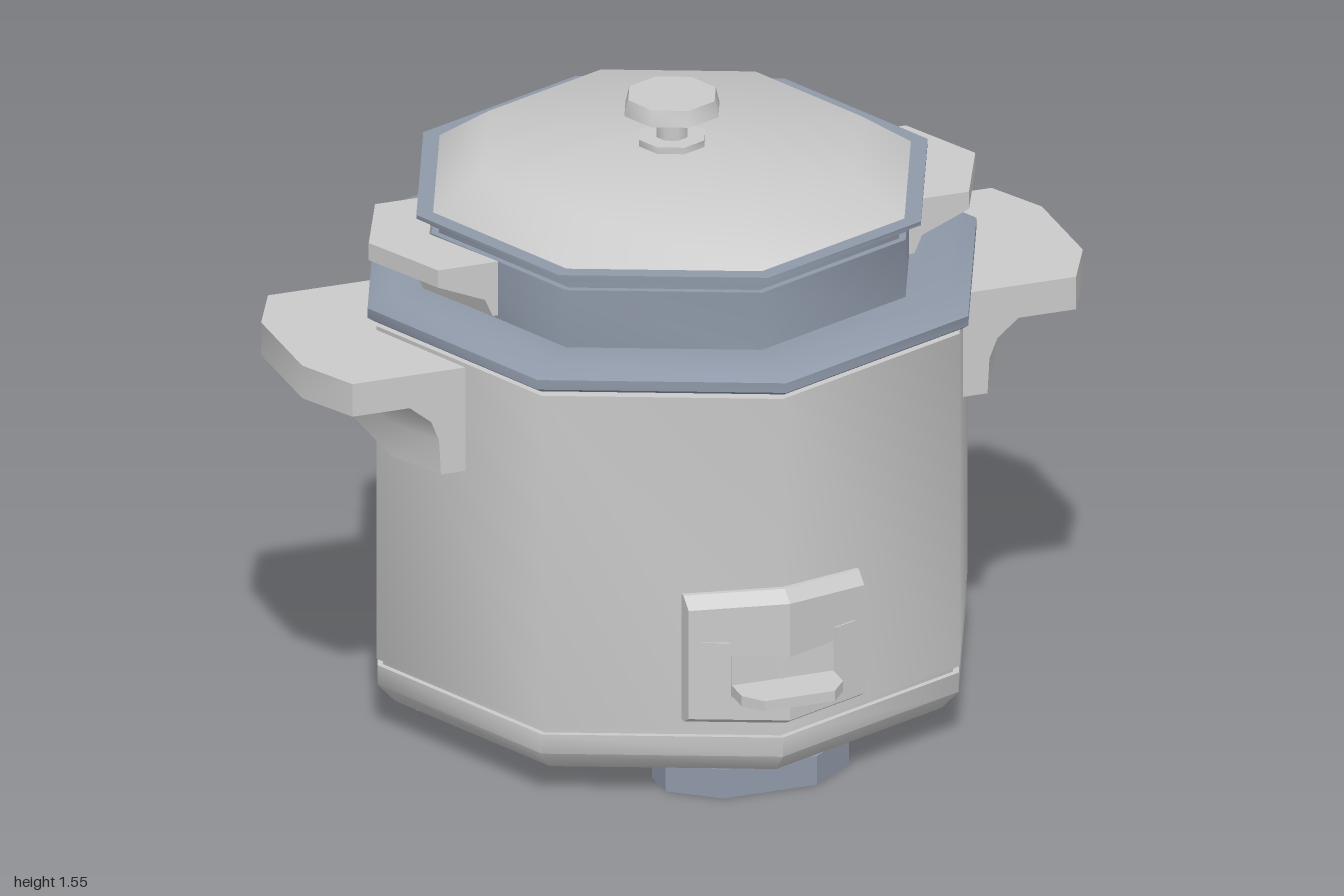
import * as THREE from 'three';
import { toCreasedNormals } from 'three/addons/utils/BufferGeometryUtils.js';

const steel = new THREE.MeshStandardMaterial({ color: 0xcacaca });
steel.name = 'light grey';
const slate = new THREE.MeshStandardMaterial({ color: 0x8f99a9 });
slate.name = 'blue grey';

export function createModel() {
  const model = new THREE.Group();
  model.name = 'riceCooker';
  // everything round shares one axis, slightly behind the origin
  const axis = new THREE.Group();
  axis.name = 'cooker';
  axis.position.z = -0.05;
  model.add(axis);

  const add = (name, geometry, material, crease = 0.88) => {
    const mesh = new THREE.Mesh(toCreasedNormals(geometry, crease), material);
    mesh.name = name;
    axis.add(mesh);
    return mesh;
  };
  // eight-sided turned part, profile of [radius, y] from bottom to top
  const turned = (name, profile, material) =>
    add(name, new THREE.LatheGeometry(profile.map(p => new THREE.Vector2(...p)), 8), material);

  const shapeOf = points => new THREE.Shape(points.map(p => new THREE.Vector2(...p)));

  // profile [outward, y] swept sideways through stations [offset, outward shift, lift of the top]
  const swept = (profile, stations) => {
    const g = new THREE.ExtrudeGeometry(shapeOf(profile),
      { depth: 1, steps: stations.length - 1, bevelEnabled: false });
    const p = g.attributes.position;
    for (let i = 0; i < p.count; i++) {
      const [offset, out, lift = 0] = stations[Math.round(p.getZ(i) * (stations.length - 1))];
      const y = p.getY(i);
      p.setXYZ(i, p.getX(i) + out, y > 0.5 ? y + lift : y, offset);
    }
    return g;
  };

  // flat plate from an [x, z] outline, between y = bottom and bottom + height
  const plate = (outline, bottom, height) =>
    new THREE.ExtrudeGeometry(shapeOf(outline), { depth: height, bevelEnabled: false })
      .rotateX(Math.PI / 2).translate(0, bottom + height, 0);

  // housing
  turned('base', [[0, 0.06], [0.67, 0.06], [0.71, 0.075], [0.755, 0.125], [0.755, 0.175], [0.74, 0.175]], steel);
  turned('baseSeam', [[0.74, 0.17], [0.74, 0.2]], steel);
  turned('body', [[0.74, 0.192], [0.757, 0.192], [0.757, 1.06], [0.7, 1.06]], steel);
  turned('bodyNeck', [[0.71, 1.05], [0.71, 1.085]], slate);
  turned('bodyRim', [[0.7, 1.075], [0.765, 1.075], [0.78, 1.085], [0.78, 1.11], [0.72, 1.138], [0.6, 1.13]], slate);

  // inner pot and lid
  turned('pot', [[0.615, 1.11], [0.615, 1.28], [0.59, 1.28]], slate);
  turned('potLip', [[0.597, 1.27], [0.597, 1.303], [0.62, 1.303], [0.62, 1.325], [0.6, 1.325]], slate);
  turned('lidRing', [[0.59, 1.325], [0.655, 1.325], [0.655, 1.335], [0.6, 1.335]], slate);
  turned('lid', [[0.615, 1.333], [0.485, 1.42], [0, 1.42]], steel);
  turned('knobFoot', [[0, 1.428], [0.085, 1.428], [0.085, 1.445], [0, 1.445]], steel);
  turned('knobStem', [[0.04, 1.41], [0.04, 1.52]], steel);
  turned('knobCap', [[0, 1.512], [0.122, 1.512], [0.112, 1.552], [0, 1.552]], steel);

  // handles, one pair on the housing and one on the pot
  const bodyHandle = [[0.62, 0.78], [0.7, 0.78], [0.705, 0.87], [0.725, 0.92], [0.78, 0.965],
    [0.927, 0.965], [0.927, 1.05], [0.62, 1.05]];
  const bodyStations = [[-0.288, 0], [-0.14, 0.073], [0.14, 0.073], [0.288, 0]];
  const potHandle = [[0.525, 1.14], [0.54, 1.14], [0.56, 1.185], [0.68, 1.235], [0.68, 1.28], [0.525, 1.28]];
  const potStations = [[-0.215, 0], [0, 0.097], [0.215, 0]];
  for (const [side, turn] of [['left', 0], ['right', Math.PI]]) {
    add(side + 'BodyHandle', swept(bodyHandle, bodyStations), steel, 0.6).rotation.y = turn;
    add(side + 'PotHandle', swept(potHandle, potStations), steel, 0.6).rotation.y = turn;
  }

  // switch panel, folded around the front corner with an open slot
  const fold = (x, lift) => [x, -0.414 * Math.abs(x), lift];
  const panelPiece = (name, profile, stations) =>
    add(name, swept(profile, stations).rotateY(-Math.PI / 2), steel, 0.3);
  panelPiece('panelTop', [[0.73, 0.405], [0.805, 0.405], [0.805, 0.522], [0.77, 0.548], [0.73, 0.548]],
    [fold(-0.225, 0), fold(0, 0.022), fold(0.225, 0)]);
  panelPiece('panelBottom', [[0.73, 0.222], [0.775, 0.222], [0.805, 0.24], [0.805, 0.3], [0.73, 0.3]],
    [fold(-0.225), fold(0), fold(0.225)]);
  for (const [a, b] of [[-0.225, -0.13], [0.13, 0.225]]) {
    panelPiece('panelSide', [[0.73, 0.3], [0.805, 0.3], [0.805, 0.405], [0.73, 0.405]], [fold(a), fold(b)]);
  }
  add('slotBack', new THREE.BoxGeometry(0.262, 0.11, 0.05).translate(0, 0.352, 0.728), steel);
  add('switchLever', plate([[-0.13, 0.74], [0.13, 0.74], [0.13, 0.82], [0.09, 0.87],
    [-0.09, 0.87], [-0.13, 0.82]], 0.303, 0.027), steel, 0.3);

  // indicator windows
  for (const s of [-1, 1]) {
    const lamp = add('indicator', new THREE.BoxGeometry(0.066, 0.026, 0.008), steel);
    lamp.position.set(s * 0.165, 0.428, 0.737);
    lamp.rotation.y = s * Math.PI / 8;
  }

  // three curved feet
  const foot = [[-0.235, 0.49], [-0.12, 0.535], [0.12, 0.535], [0.235, 0.49],
    [0.235, 0.58], [0.12, 0.67], [-0.12, 0.67], [-0.235, 0.58]];
  for (let i = 0; i < 3; i++) {
    add('foot', plate(foot, 0, 0.075), slate, 0.6).rotation.y = i * Math.PI * 2 / 3;
  }
  return model;
}
